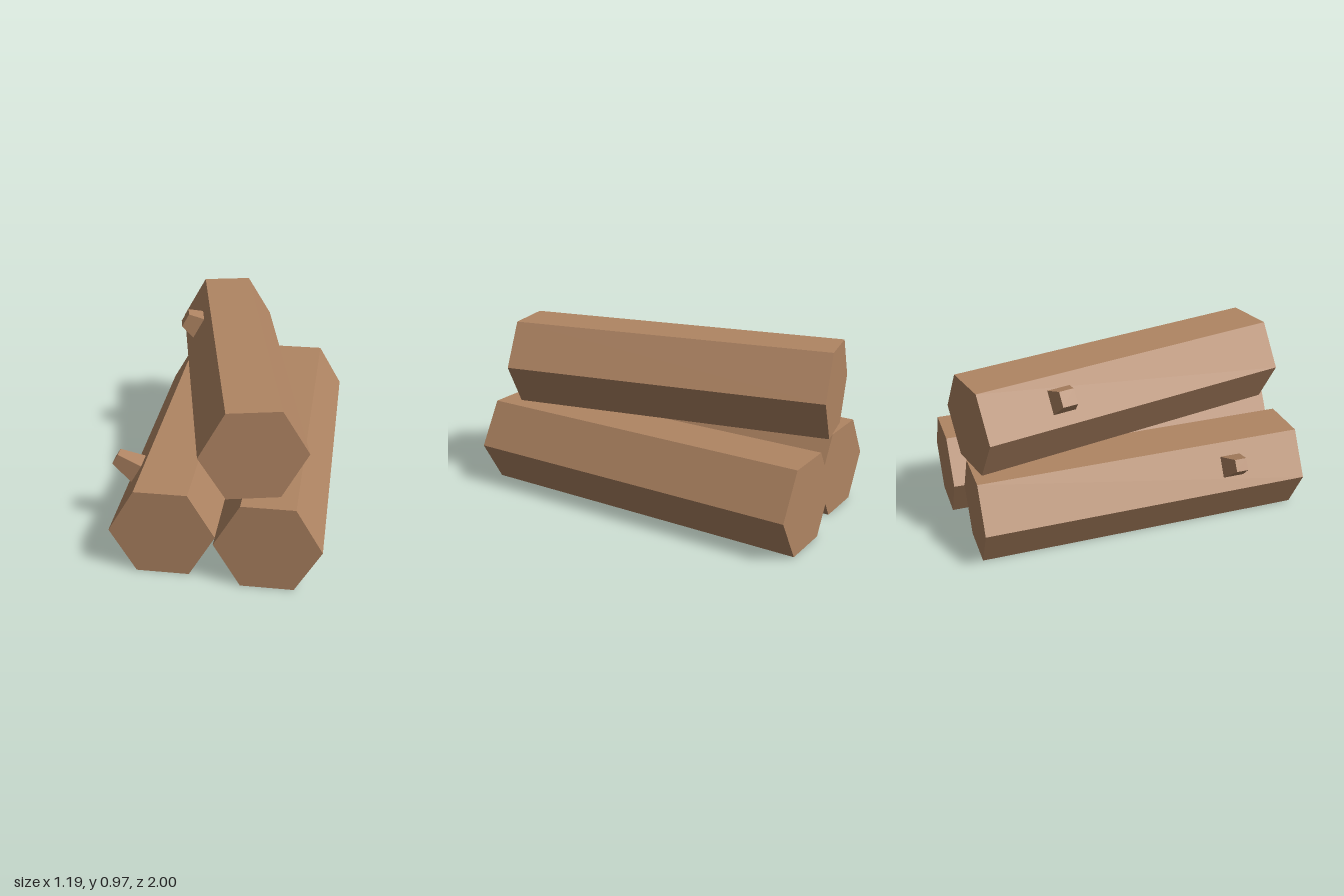
import * as THREE from 'three';

const R = 0.281;                       // log radius, corner to corner
const A = R * Math.cos(Math.PI / 6);   // half height across flats

// Faceted prism or frustum with hard edges
function faceted(rTop, rBottom, height, sides, start) {
  const g = new THREE.CylinderGeometry(rTop, rBottom, height, sides, 1, false, start).toNonIndexed();
  g.computeVertexNormals();
  return g;
}

export function createModel() {
  const wood = new THREE.MeshStandardMaterial({ color: 0xb08563 });
  wood.name = 'wood';
  const model = new THREE.Group();
  model.name = 'logPile';

  // Hexagonal log lying along z, with flats on top and bottom
  function addLog(name, x, y, z, length, turn = 0) {
    const log = new THREE.Group();
    log.name = name;
    const trunk = new THREE.Mesh(faceted(R, R, length, 6, Math.PI / 6).rotateX(Math.PI / 2), wood);
    trunk.name = name + 'Trunk';
    log.add(trunk);
    log.position.set(x, y, z);
    log.rotation.y = turn;
    model.add(log);
    return log;
  }

  // Tapered square stub standing on the log's upper face on the -x side
  function addStub(log, z, base, tip, height) {
    const g = faceted(tip / Math.SQRT2, base / Math.SQRT2, height, 4, Math.PI / 4);
    const stub = new THREE.Mesh(g, wood);
    stub.name = 'branchStub';
    const d = A + height / 2;
    stub.position.set(-d * Math.sin(Math.PI / 3), d * Math.cos(Math.PI / 3), z);
    stub.rotation.z = Math.PI / 3;
    log.add(stub);
  }

  addLog('leftLog', 0.314, A, 0, 2);
  const rightLog = addLog('rightLog', -0.247, A, 0, 1.88);
  const topLog = addLog('topLog', 0.033, A * 3, -0.006, 1.88, 0.211);

  addStub(rightLog, 0.51, 0.12, 0.068, 0.141);
  addStub(topLog, -0.48, 0.135, 0.087, 0.09);

  return model;
}
